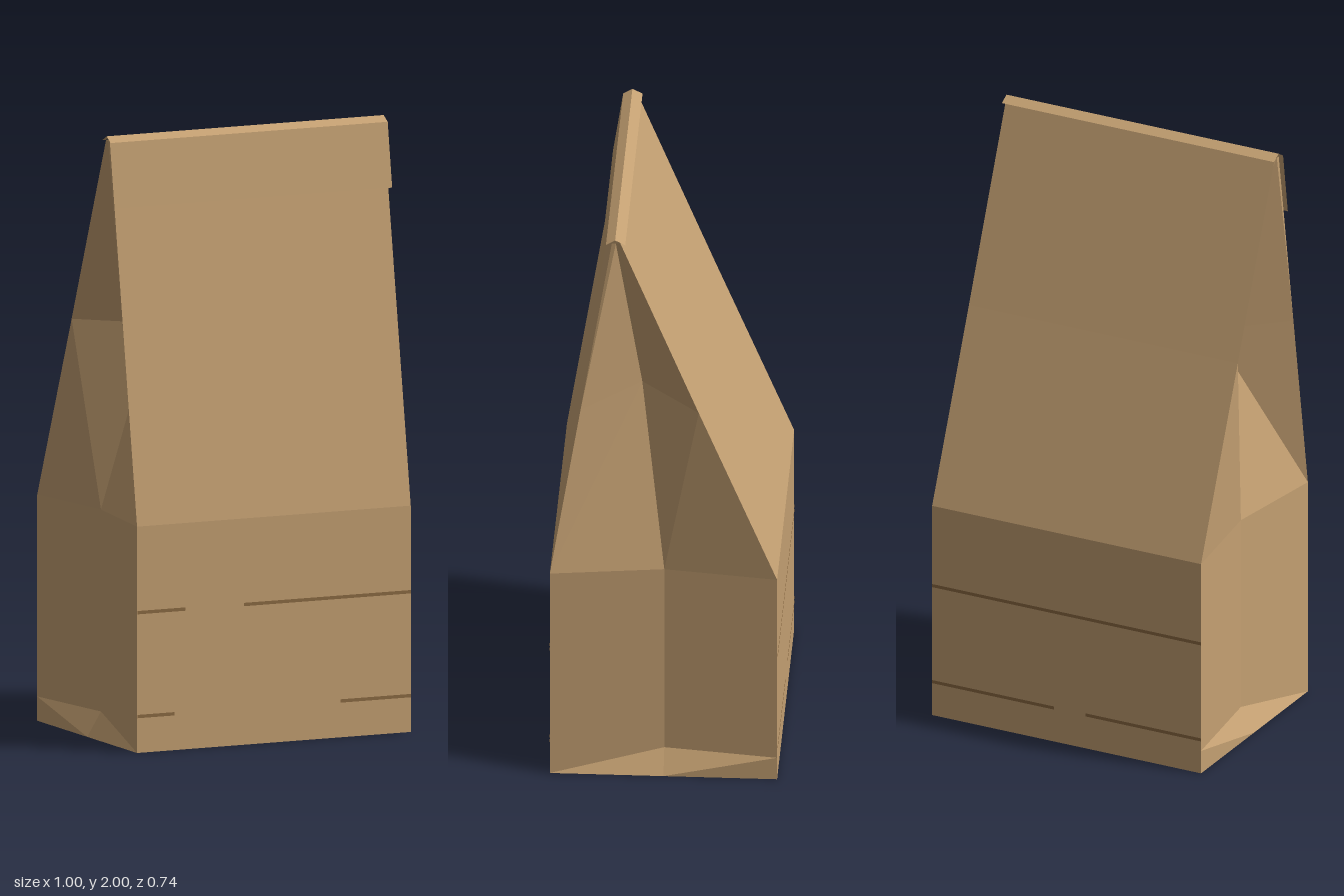
import * as THREE from 'three';

const W = 0.495; // half width of the bag
const D = 0.37;  // half depth of the base

// Flat-shaded sheet through rows of points; each row has the same length.
function sheet(rows, flip = false) {
  const pos = [];
  const tri = (a, b, c) => pos.push(...a, ...(flip ? c : b), ...(flip ? b : c));
  for (let i = 0; i < rows.length - 1; i++) {
    for (let j = 0; j < rows[i].length - 1; j++) {
      const a = rows[i][j], b = rows[i][j + 1], c = rows[i + 1][j + 1], d = rows[i + 1][j];
      tri(a, b, c);
      tri(a, c, d);
    }
  }
  const g = new THREE.BufferGeometry();
  g.setAttribute('position', new THREE.Float32BufferAttribute(pos, 3));
  g.computeVertexNormals();
  return g;
}

// Sheet of constant width swept along a [y, z] profile.
const panel = (profile, w, flip) =>
  sheet(profile.map(([y, z]) => [[-w, y, z], [w, y, z]]), flip);

export function createModel() {
  const bag = new THREE.Group();
  bag.name = 'paperBag';
  const paper = new THREE.MeshStandardMaterial({ color: 0xc4a072, side: THREE.DoubleSide });
  paper.name = 'kraft paper';
  const crease = new THREE.MeshStandardMaterial({ color: 0x8c6b43, side: THREE.DoubleSide });
  crease.name = 'crease brown';
  const add = (name, geometry, material = paper) => {
    const mesh = new THREE.Mesh(geometry, material);
    mesh.name = name;
    bag.add(mesh);
    return mesh;
  };

  // Levels of the bag: height, front z, back z, gusset fold z, gusset inset
  const levels = [
    [0, D, -D, 0, 0],
    [0.08, D, -D, 0, 0.05],
    [0.745, D, -D, 0, 0.05],
    [1.36, 0.27, -0.115, 0.08, 0.2],
    [1.985, 0.168, 0.14, 0.155, 0],
  ];

  // Large panels and base
  add('frontPanel', panel(levels.map(([y, f]) => [y, f]), W));
  add('backPanel', panel(levels.map(([y, , b]) => [y, b]), W, true));
  add('base', panel([[0, -D], [0, D]], W));

  // Folded side gussets
  for (const s of [1, -1]) {
    const rows = levels.map(([y, f, b, m, inset]) => [
      [s * W, y, f], [s * (W - inset), y, m], [s * W, y, b],
    ]);
    add(s > 0 ? 'leftGusset' : 'rightGusset', sheet(rows, s < 0));
  }

  // Folded-over top with the flap hanging in front
  add('topFlap', panel([[1.77, 0.22], [1.982, 0.187], [2, 0.157], [1.983, 0.124]], 0.501));

  // Thin crease marks: [x start, x end, y, facing]
  const marks = [
    [-W, -0.32, 0.462, 1], [-0.11, W, 0.462, 1],
    [-W, -0.36, 0.12, 1], [0.24, W, 0.12, 1],
    [-W, W, 0.462, -1],
    [-W, -0.07, 0.12, -1], [0.045, W, 0.12, -1],
  ];
  for (const [x0, x1, y, s] of marks) {
    const mark = add(s > 0 ? 'frontCrease' : 'backCrease', new THREE.PlaneGeometry(x1 - x0, 0.011), crease);
    mark.position.set((x0 + x1) / 2, y, s * (D + 0.002));
    if (s < 0) mark.rotation.y = Math.PI;
  }
  return bag;
}
